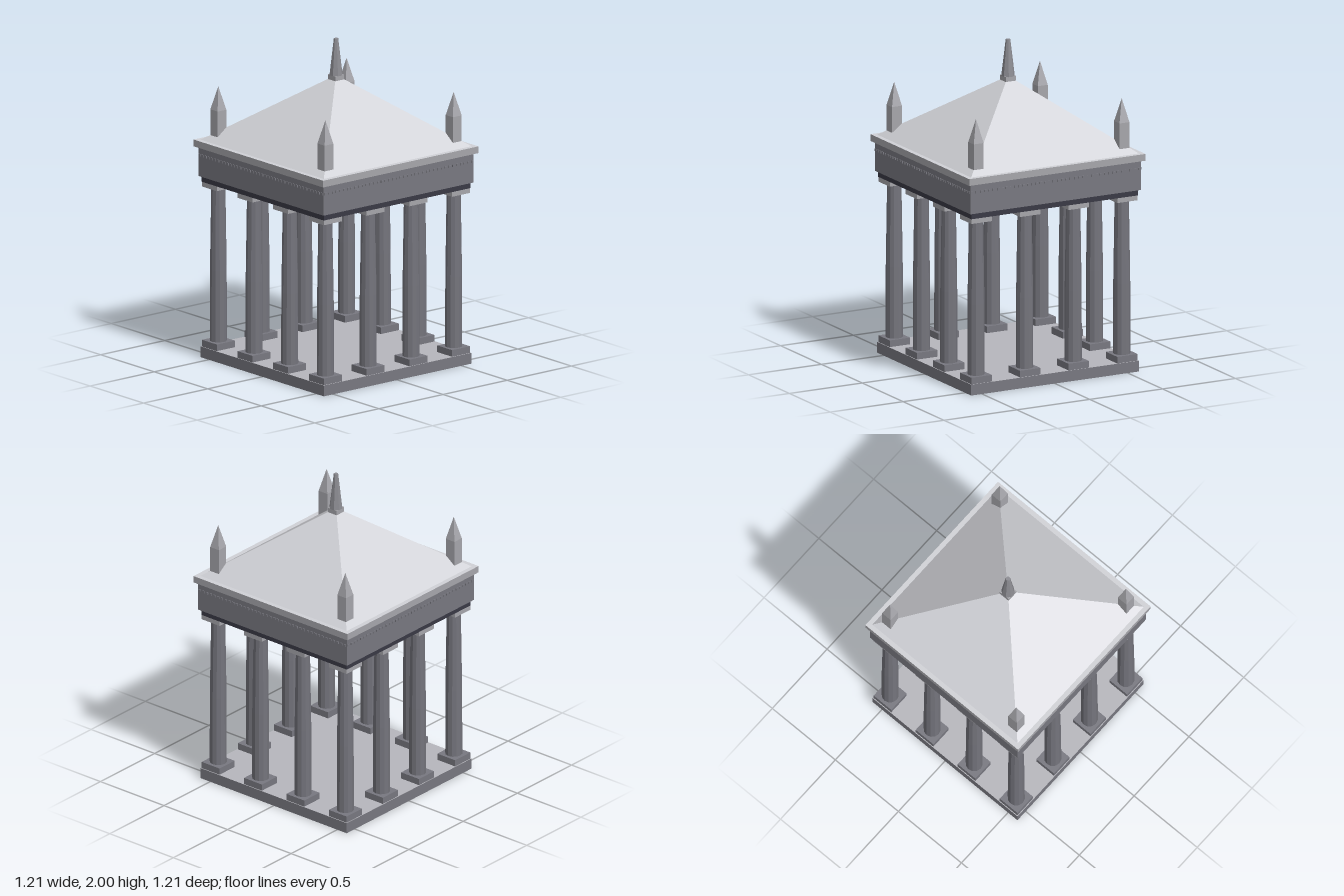
import * as THREE from 'three';

const mat = (name, color) => {
  const m = new THREE.MeshStandardMaterial({ color, flatShading: true });
  m.name = name;
  return m;
};

export function createModel() {
  const stone = mat('stone', 0x787880);
  const shaftStone = mat('column stone', 0x74747c);
  const trim = mat('pale trim', 0xa6a6ab);
  const dark = mat('dark band', 0x393945);
  const roofing = mat('roof', 0xd0d1d6);
  const paving = mat('floor paving', 0xb6b6bc);
  const finialStone = mat('finial stone', 0x8c8c92);

  const model = new THREE.Group();
  model.name = 'pavilion';

  const add = (name, geometry, material, x = 0, z = 0, parent = model) => {
    const mesh = new THREE.Mesh(geometry, material);
    mesh.name = name;
    mesh.position.set(x, 0, z);
    parent.add(mesh);
    return mesh;
  };
  // Square slab between two heights
  const slab = (half, y0, y1) =>
    new THREE.BoxGeometry(half * 2, y1 - y0, half * 2).translate(0, (y0 + y1) / 2, 0);
  // Square frustum or pyramid with sides facing the axes
  const frustum = (bottom, top, y0, y1) =>
    new THREE.CylinderGeometry(top * Math.SQRT2, bottom * Math.SQRT2, y1 - y0, 4, 1, false, Math.PI / 4)
      .translate(0, (y0 + y1) / 2, 0);

  // Base with a paler paved top (material order: +x, -x, top, bottom, +z, -z)
  add('base', slab(0.575, 0, 0.067), [stone, stone, paving, stone, stone, stone]);

  // Twelve tapering columns around the edge
  const plinthGeo = slab(0.07, 0.06, 0.108);
  const capitalGeo = slab(0.07, 1.06, 1.092);
  const shaftGeo = new THREE.LatheGeometry(
    [[0.052, 0.105], [0.051, 0.55], [0.043, 1.065]].map(([r, y]) => new THREE.Vector2(r, y)), 12);
  for (let i = 0; i < 4; i++) {
    for (let j = 0; j < 4; j++) {
      if (i % 3 && j % 3) continue;
      const column = new THREE.Group();
      column.name = 'column';
      column.position.set(-0.5 + i / 3, 0, -0.5 + j / 3);
      add('plinth', plinthGeo, stone, 0, 0, column);
      add('shaft', shaftGeo, shaftStone, 0, 0, column);
      add('capital', capitalGeo, trim, 0, 0, column);
      model.add(column);
    }
  }

  // Entablature
  add('architrave', slab(0.572, 1.09, 1.128), dark);
  add('frieze', slab(0.585, 1.125, 1.31), stone);
  add('cornice', slab(0.605, 1.308, 1.35), [trim, trim, roofing, trim, trim, trim]);

  // Row of small dentils on each side of the frieze
  const count = 40;
  const dentils = new THREE.InstancedMesh(new THREE.BoxGeometry(0.015, 0.014, 0.01), stone, count * 4);
  dentils.name = 'dentils';
  const place = new THREE.Object3D();
  for (let side = 0; side < 4; side++) {
    for (let i = 0; i < count; i++) {
      const along = -0.572 + (1.144 * i) / (count - 1);
      const a = (side * Math.PI) / 2;
      place.position.set(along * Math.cos(a) + 0.585 * Math.sin(a), 1.258,
        -along * Math.sin(a) + 0.585 * Math.cos(a));
      place.rotation.y = a;
      place.updateMatrix();
      dentils.setMatrixAt(side * count + i, place.matrix);
    }
  }
  model.add(dentils);

  // Hipped roof, its top block and the eight-sided finial
  add('roof', frustum(0.577, 0.035, 1.349, 1.746), roofing);
  add('finialBlock', slab(0.035, 1.745, 1.776), trim);
  add('finial', new THREE.CylinderGeometry(0.014, 0.041, 0.226, 8, 1, false, Math.PI / 8)
    .translate(0, 1.887, 0), finialStone);

  // Pointed posts at the four roof corners
  const postGeo = slab(0.034, 1.375, 1.54);
  const tipGeo = frustum(0.034, 0, 1.54, 1.685);
  for (const x of [-0.5, 0.5]) {
    for (const z of [-0.5, 0.5]) {
      add('cornerPost', postGeo, trim, x, z);
      add('cornerPostTip', tipGeo, trim, x, z);
    }
  }
  return model;
}
